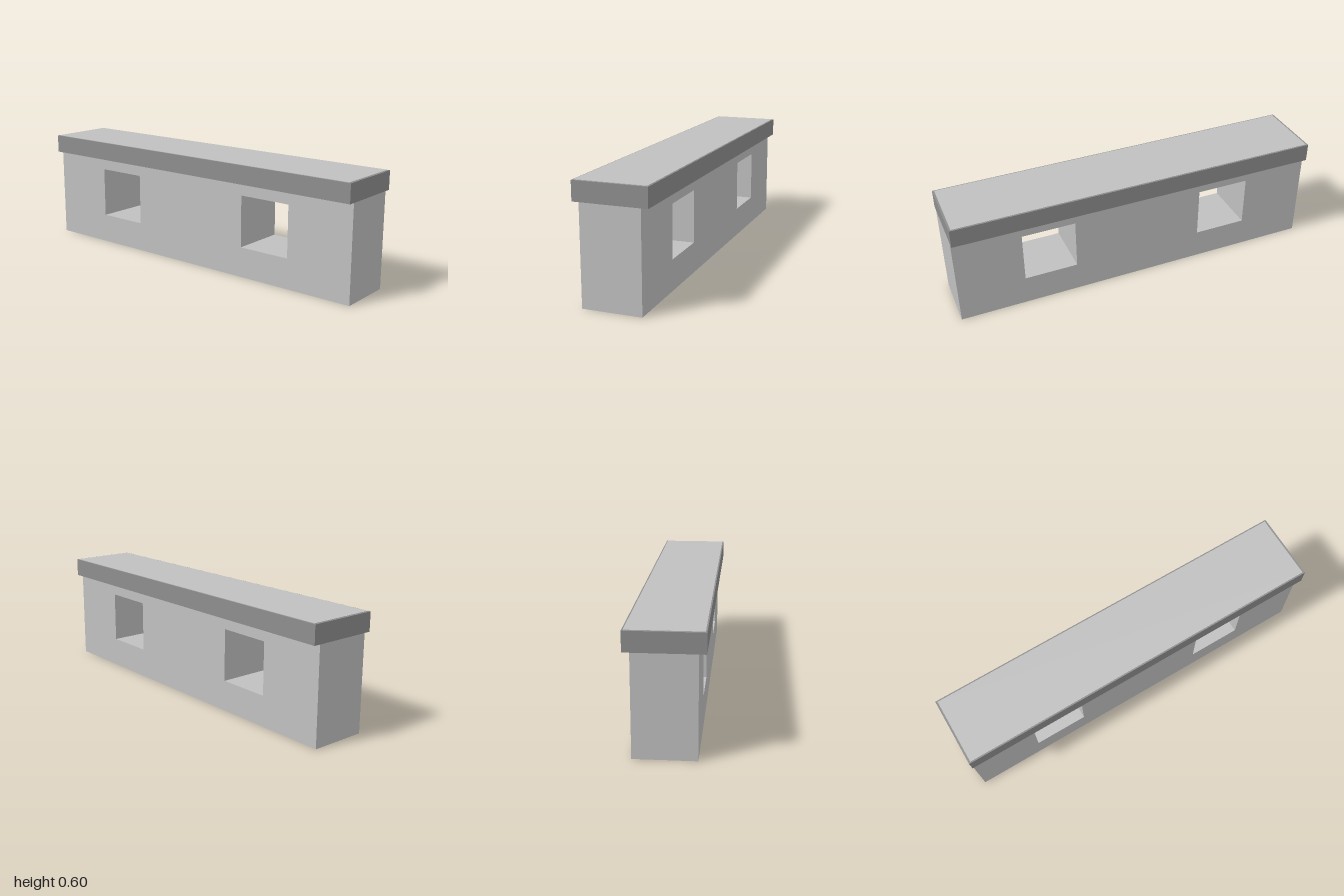
import * as THREE from 'three';

export function createModel() {
  const group = new THREE.Group();
  const lightStone = new THREE.MeshStandardMaterial({ color: 0xc0c0c0 });
  lightStone.name = 'lightStone';
  const darkStone = new THREE.MeshStandardMaterial({ color: 0x8e8e8e });
  darkStone.name = 'darkStone';

  const add = (name, geometry, material, y = 0) => {
    const mesh = new THREE.Mesh(geometry, material);
    mesh.name = name;
    mesh.position.y = y;
    group.add(mesh);
  };

  const rectangle = (target, x0, y0, x1, y1) =>
    target.moveTo(x0, y0).lineTo(x1, y0).lineTo(x1, y1).lineTo(x0, y1).closePath();

  // Wall side profile with two openings, extruded across the thickness
  const wallWidth = 0.3;
  const profile = rectangle(new THREE.Shape(), -1, 0, 1, 0.5);
  for (const centre of [-0.5, 0.5]) {
    profile.holes.push(rectangle(new THREE.Path(), centre - 0.143, 0.16, centre + 0.143, 0.434));
  }
  const wall = new THREE.ExtrudeGeometry(profile, { depth: wallWidth, bevelEnabled: false });
  wall.translate(0, 0, -wallWidth / 2).rotateY(-Math.PI / 2);
  add('wall', wall, lightStone);

  // Overhanging coping with a thin pale surface on top
  add('coping', new THREE.BoxGeometry(0.37, 0.098, 2), darkStone, 0.549);
  add('topSurface', new THREE.BoxGeometry(0.356, 0.002, 1.98), lightStone, 0.599);

  return group;
}
